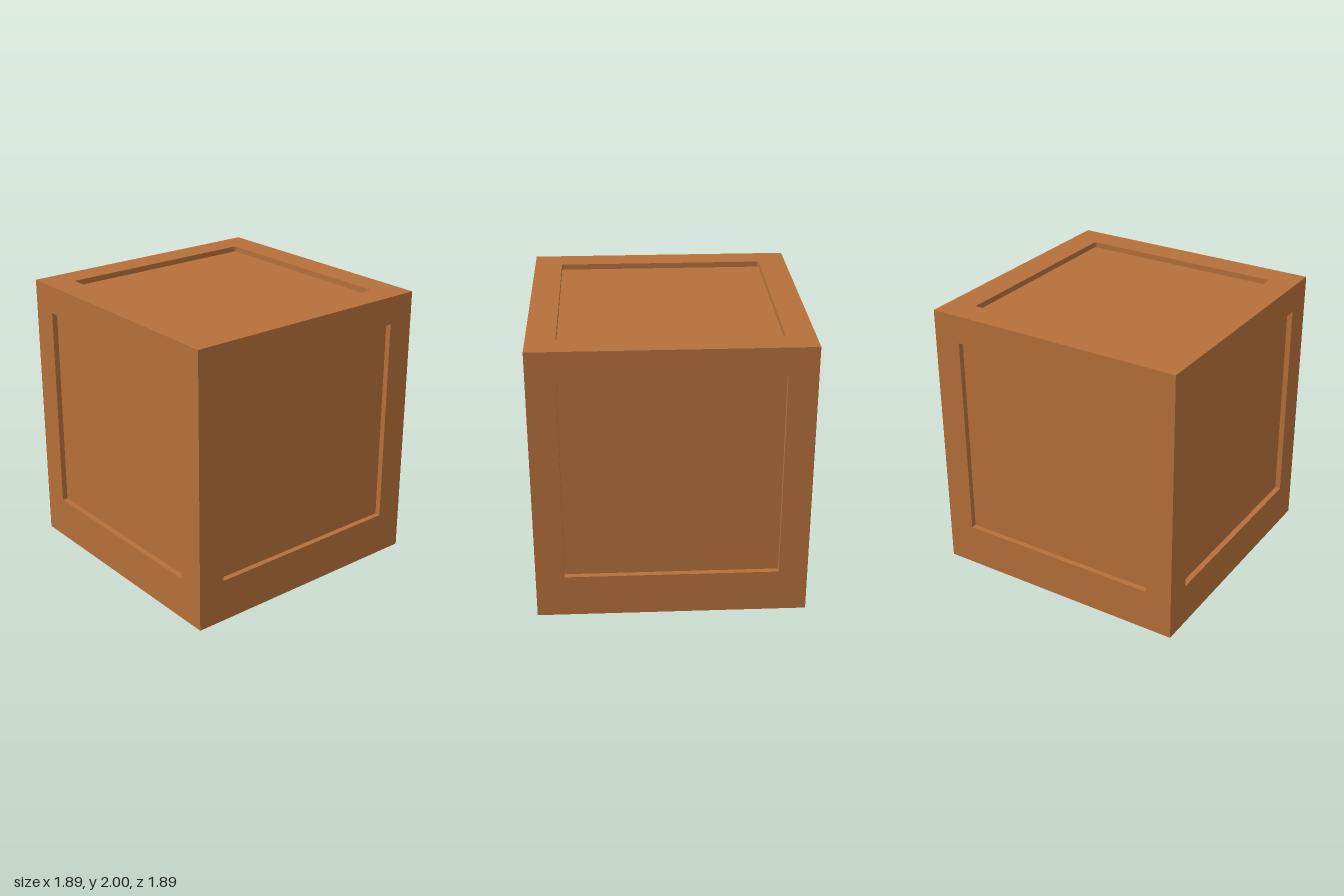
import * as THREE from 'three';

const HALF = 0.945, HEIGHT = 2, PANEL = 0.745, DEPTH = 0.04;

// Square outline of the recess, counter-clockwise, with optional clipped corners
function recessOutline(offsetY, clip) {
  const points = [];
  [[-1, -1], [1, -1], [1, 1], [-1, 1]].forEach(([sx, sy], i) => {
    const x = sx * PANEL, y = sy * PANEL + offsetY;
    if (!clip) return points.push(new THREE.Vector2(x, y));
    const pair = [
      new THREE.Vector2(x, y - sy * clip),
      new THREE.Vector2(x - sx * clip, y),
    ];
    points.push(...(i % 2 ? pair.reverse() : pair));
  });
  return points;
}

// Walls running from the rim of the recess down to its floor
function recessWalls(outline) {
  const positions = [];
  outline.forEach((a, i) => {
    const b = outline[(i + 1) % outline.length];
    positions.push(a.x, a.y, 0, b.x, b.y, 0, b.x, b.y, -DEPTH);
    positions.push(a.x, a.y, 0, b.x, b.y, -DEPTH, a.x, a.y, -DEPTH);
  });
  const geometry = new THREE.BufferGeometry();
  geometry.setAttribute('position', new THREE.Float32BufferAttribute(positions, 3));
  geometry.computeVertexNormals();
  return geometry;
}

// One crate face: flat frame, recess walls and sunken panel, facing +z
function crateFace(name, height, offsetY, clip, material) {
  const face = new THREE.Group();
  face.name = name;
  const outline = recessOutline(offsetY, clip);
  const h = height / 2;
  const frame = new THREE.Shape([
    new THREE.Vector2(-HALF, -h), new THREE.Vector2(HALF, -h),
    new THREE.Vector2(HALF, h), new THREE.Vector2(-HALF, h),
  ]);
  frame.holes.push(new THREE.Path(outline));
  const add = (part, geometry) => {
    const mesh = new THREE.Mesh(geometry, material);
    mesh.name = part;
    face.add(mesh);
    return mesh;
  };
  add('frame', new THREE.ShapeGeometry(frame));
  add('recessWalls', recessWalls(outline));
  add('panel', new THREE.ShapeGeometry(new THREE.Shape(outline))).position.z = -DEPTH;
  return face;
}

export function createModel() {
  const crate = new THREE.Group();
  crate.name = 'crate';
  const wood = new THREE.MeshStandardMaterial({ color: 0xb5703a });
  wood.name = 'brown wood';

  // Four sides, with the panels set slightly above the middle
  ['frontSide', 'leftSide', 'backSide', 'rightSide'].forEach((name, i) => {
    const side = crateFace(name, HEIGHT, 0.055, 0, wood);
    const angle = i * Math.PI / 2;
    side.rotation.y = angle;
    side.position.set(Math.sin(angle) * HALF, HEIGHT / 2, Math.cos(angle) * HALF);
    crate.add(side);
  });

  // Lid and base
  const lid = crateFace('lid', HALF * 2, 0, 0.01, wood);
  lid.rotation.x = -Math.PI / 2;
  lid.position.y = HEIGHT;
  const base = crateFace('base', HALF * 2, 0, 0, wood);
  base.rotation.x = Math.PI / 2;
  crate.add(lid, base);

  return crate;
}
